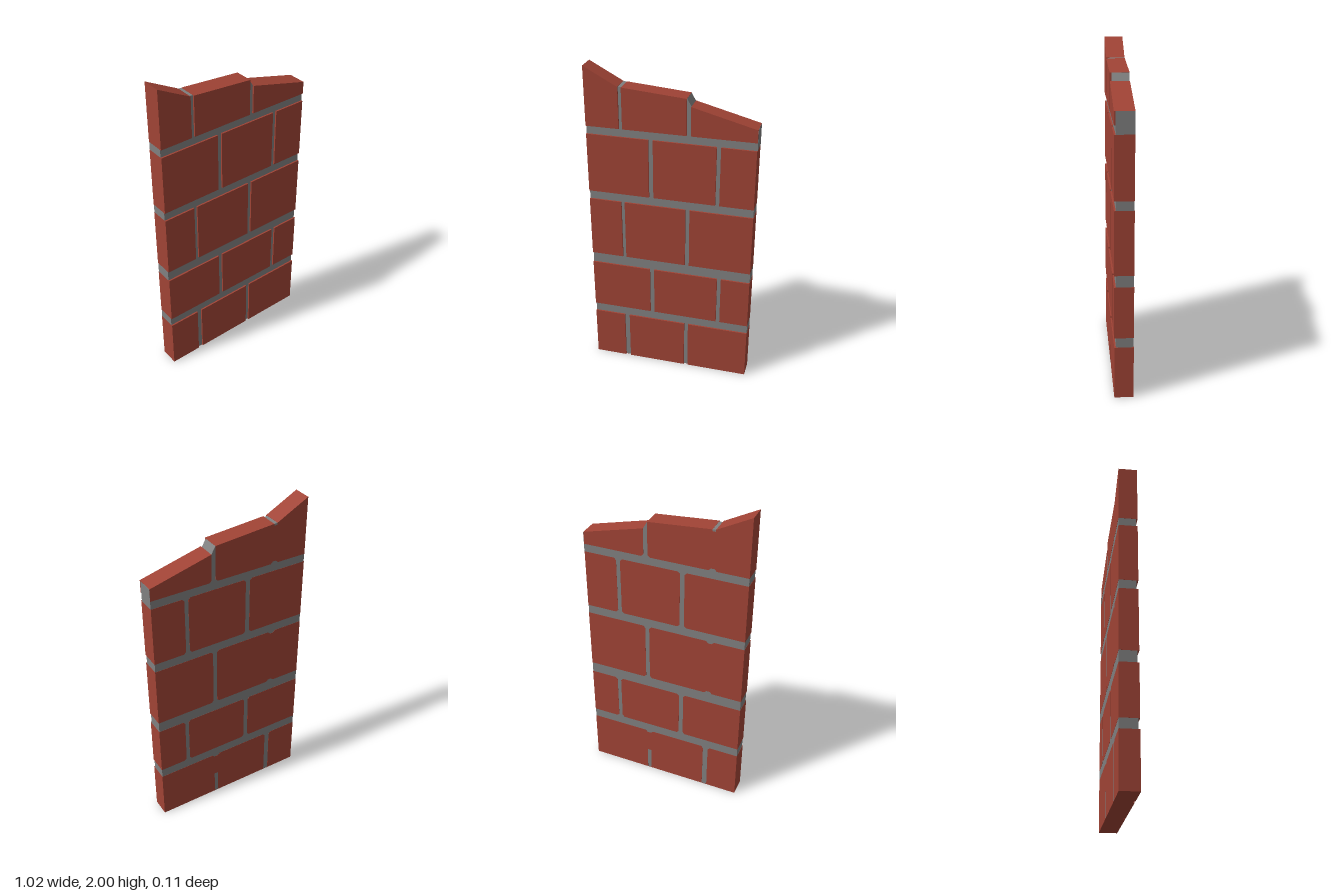
import * as THREE from 'three';

const HALF = 0.507, BACK = -0.057, MORTAR_FRONT = 0.047, FRONT = 0.057, CHAMFER = 0.014;

// Broken upper edge of the wall
const TOP = [[-HALF, 2], [-0.304, 1.893], [0.1, 1.86], [0.126, 1.815], [HALF, 1.717]];

// Courses: bottom, top, and the [left, right] edges of the upright joints
const COURSES = [
  { y0: 0, y1: 0.33, joints: [[-0.307, -0.274], [0.096, 0.122]] },
  { y0: 0.39, y1: 0.71, joints: [[-0.13, -0.102], [0.303, 0.328]] },
  { y0: 0.78, y1: 1.165, joints: [[-0.305, -0.283], [0.097, 0.123]] },
  { y0: 1.22, y1: 1.59, joints: [[-0.128, -0.1], [0.277, 0.302]] },
  { y0: 1.64, y1: null, joints: [[-0.304, -0.283], [0.1, 0.126]] },
];

function topAt(x) {
  for (let i = 1; i < TOP.length; i++) {
    const [ax, ay] = TOP[i - 1], [bx, by] = TOP[i];
    if (x <= bx) return ay + (by - ay) * (x - ax) / (bx - ax);
  }
  return TOP[TOP.length - 1][1];
}

function slab(points, z0, z1) {
  const shape = new THREE.Shape(points.map(([x, y]) => new THREE.Vector2(x, y)));
  const geo = new THREE.ExtrudeGeometry(shape, { depth: z1 - z0, bevelEnabled: false });
  return geo.translate(0, 0, z0);
}

// Brick outline, with cut corners of size c beside the joints
function outline(x0, x1, y0, y1, c) {
  const cl = x0 > -HALF ? c : 0, cr = x1 < HALF ? c : 0;
  const pts = [];
  const corner = (x, y, cut, first, second) => {
    if (cut > 0) pts.push([x + first[0] * cut, y + first[1] * cut], [x + second[0] * cut, y + second[1] * cut]);
    else pts.push([x, y]);
  };
  const low = y0 > 0 ? 1 : 0, high = y1 === null ? 0 : 1;
  corner(x0, y0, cl * low, [0, 1], [1, 0]);
  corner(x1, y0, cr * low, [-1, 0], [0, 1]);
  corner(x1, y1 ?? topAt(x1), cr * high, [0, -1], [-1, 0]);
  if (y1 === null) {
    for (const [x, y] of [...TOP].reverse()) if (x > x0 + 0.005 && x < x1 - 0.005) pts.push([x, y]);
  }
  corner(x0, y1 ?? topAt(x0), cl * high, [1, 0], [0, -1]);
  return pts;
}

export function createModel() {
  const brick = new THREE.MeshStandardMaterial({ color: 0xa04335 });
  brick.name = 'brick red';
  const mortar = new THREE.MeshStandardMaterial({ color: 0x808080 });
  mortar.name = 'mortar grey';

  const wall = new THREE.Group();
  wall.name = 'brickWall';
  const add = (name, geo, mat, parent = wall) => {
    const mesh = new THREE.Mesh(geo, mat);
    mesh.name = name;
    parent.add(mesh);
  };

  // Mortar bed, a hair smaller than the bricks set into it
  const e = 0.001;
  const bed = [[-HALF + e, e], [HALF - e, e]];
  for (const [x, y] of [...TOP].reverse()) bed.push([THREE.MathUtils.clamp(x, -HALF + e, HALF - e), y - e]);
  add('mortarBed', slab(bed, BACK + e, MORTAR_FRONT), mortar);

  // Bricks: a body through the wall and a square face standing proud in front
  COURSES.forEach(({ y0, y1, joints }, row) => {
    const course = new THREE.Group();
    course.name = `course${row + 1}`;
    wall.add(course);
    const edges = [-HALF, ...joints.flat(), HALF];
    for (let i = 0; i < edges.length; i += 2) {
      const x0 = edges[i], x1 = edges[i + 1];
      add('brickBody', slab(outline(x0, x1, y0, y1, CHAMFER), BACK, MORTAR_FRONT), brick, course);
      add('brickFace', slab(outline(x0, x1, y0, y1, 0), MORTAR_FRONT, FRONT), brick, course);
    }
  });

  // Joints closed with brick on the back
  const closed = [
    [-0.306, -0.282, 0.794, 1.151],
    [-0.305, -0.282, 1.654, 1.88],
    [0.095, 0.123, 0.16, 0.316],
  ];
  for (const [x0, x1, y0, y1] of closed) {
    add('backInfill', slab([[x0, y0], [x1, y0], [x1, y1], [x0, y1]], BACK, BACK + 0.003), brick);
  }

  // Underside of the wall
  add('underside', slab([[-HALF, 0], [HALF, 0], [HALF, 0.002], [-HALF, 0.002]], BACK, MORTAR_FRONT), brick);

  // Mortar-covered end of the top course
  const cap = new THREE.BoxGeometry(0.002, 0.126, MORTAR_FRONT - BACK);
  add('endCap', cap.translate(HALF, 1.653, (MORTAR_FRONT + BACK) / 2), mortar);

  return wall;
}
